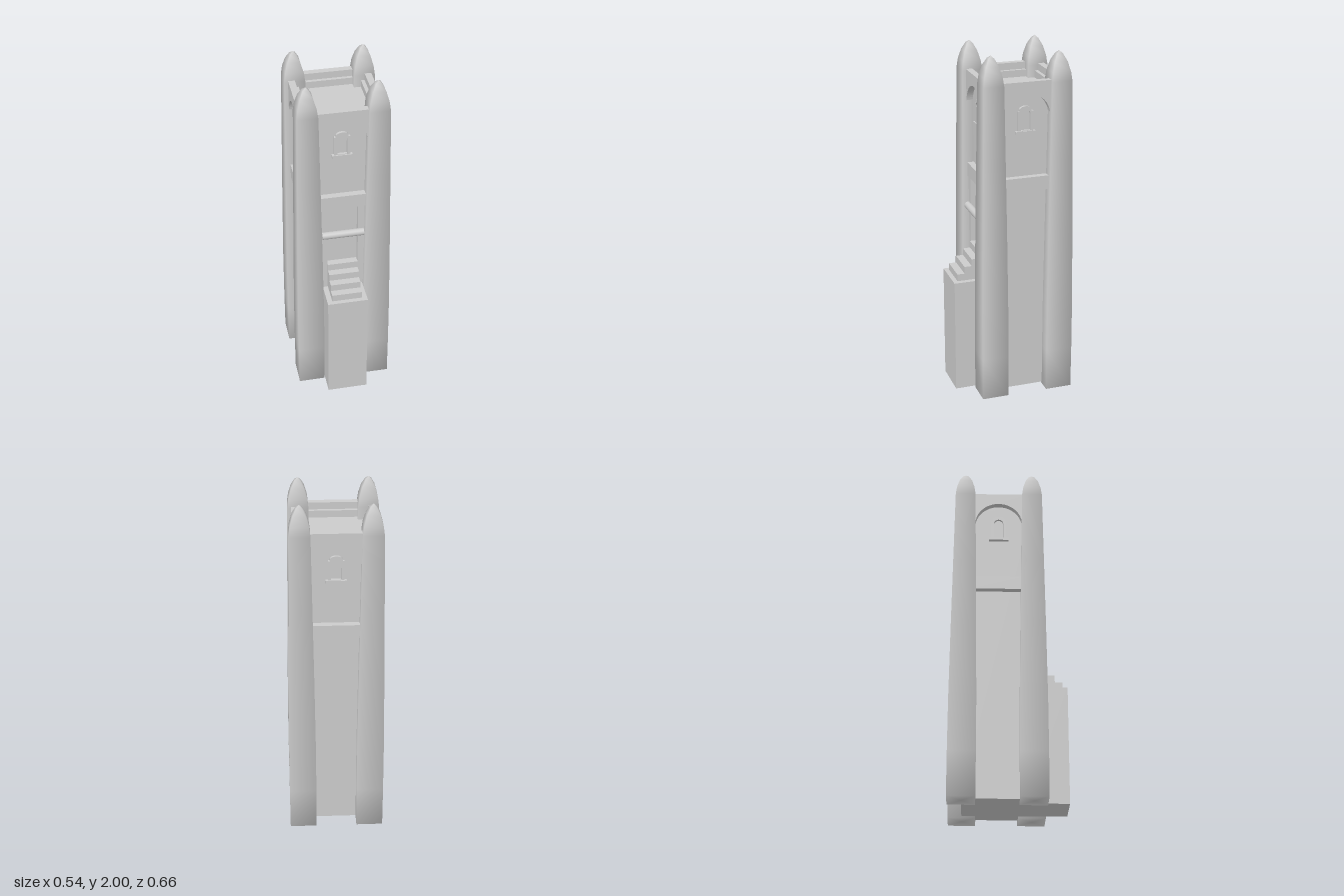
import * as THREE from 'three';

const MAT = new THREE.MeshStandardMaterial({ color: 0xcccccc });
const HALF = 0.193; // half width of the core walls
const OUT = 0.23;   // outer plane of ledges and parapet
const CENTRE_Z = -0.06;

function add(parent, name, geometry) {
  const mesh = new THREE.Mesh(geometry, MAT);
  mesh.name = name;
  parent.add(mesh);
  return mesh;
}

// Box given by its limits on each axis
function box(parent, name, x0, x1, y0, y1, z0, z1) {
  const mesh = add(parent, name, new THREE.BoxGeometry(x1 - x0, y1 - y0, z1 - z0));
  mesh.position.set((x0 + x1) / 2, (y0 + y1) / 2, (z0 + z1) / 2);
  return mesh;
}

function extrude(parent, name, shape, z0, z1) {
  const geometry = new THREE.ExtrudeGeometry(shape, { depth: z1 - z0, bevelEnabled: false, curveSegments: 16 });
  geometry.translate(0, 0, z0);
  return add(parent, name, geometry);
}

// Square, softly shaded corner pier tapering to a pointed cap
function pierGeometry() {
  const profile = [
    [0, 0], [0.076, 0], [0.0765, 0.25], [0.0755, 0.55], [0.07, 1], [0.064, 1.4],
    [0.0575, 1.84], [0.051, 1.89], [0.036, 1.945], [0.016, 1.985], [0, 2],
  ].map(([half, y]) => new THREE.Vector2(half * Math.SQRT2, y));
  return new THREE.LatheGeometry(profile, 4, Math.PI / 4);
}

// Small arched window with shouldered frame and sill
function addWindow(side) {
  const frame = new THREE.Shape();
  frame.moveTo(-0.044, 1.57);
  frame.lineTo(0.044, 1.57);
  frame.lineTo(0.044, 1.683);
  frame.lineTo(0.034, 1.683);
  frame.lineTo(0.034, 1.69);
  frame.absellipse(0, 1.69, 0.034, 0.02, 0, Math.PI, false);
  frame.lineTo(-0.034, 1.683);
  frame.lineTo(-0.044, 1.683);
  frame.closePath();
  const hole = new THREE.Path();
  hole.moveTo(-0.027, 1.574);
  hole.lineTo(-0.027, 1.665);
  hole.absellipse(0, 1.665, 0.027, 0.027, Math.PI, 0, true);
  hole.lineTo(0.027, 1.574);
  hole.closePath();
  frame.holes.push(hole);
  extrude(side, 'windowFrame', frame, HALF - 0.005, HALF + 0.015);
  box(side, 'windowSill', -0.056, 0.056, 1.555, 1.571, HALF - 0.005, HALF + 0.022);
}

// One face of the tower: ledge, arched parapet and window
function buildSide(name) {
  const side = new THREE.Group();
  side.name = name;
  box(side, 'ledge', -0.15, 0.15, 1.23, 1.31, HALF - 0.01, OUT);
  const arch = new THREE.Shape();
  arch.moveTo(-0.16, 1.85);
  arch.lineTo(-0.16, 1.65);
  arch.lineTo(-0.135, 1.65);
  arch.absarc(0, 1.65, 0.135, Math.PI, 0, true);
  arch.lineTo(0.16, 1.65);
  arch.lineTo(0.16, 1.85);
  arch.closePath();
  extrude(side, 'archedParapet', arch, HALF, OUT);
  box(side, 'parapetStep', -0.17, 0.17, 1.76, 1.81, HALF - 0.02, HALF);
  addWindow(side);
  return side;
}

export function createModel() {
  const model = new THREE.Group();
  model.name = 'tower';
  const tower = new THREE.Group();
  tower.name = 'towerBody';
  tower.position.z = CENTRE_Z;
  model.add(tower);

  box(tower, 'core', -HALF, HALF, 0.01, 1.77, -HALF, HALF);

  const pier = pierGeometry();
  for (const x of [-1, 1]) for (const z of [-1, 1]) {
    add(tower, 'cornerPier', pier).position.set(x * HALF, 0, z * HALF);
  }

  ['frontSide', 'leftSide', 'backSide', 'rightSide'].forEach((name, i) => {
    const side = buildSide(name);
    side.rotation.y = i * Math.PI / 2;
    tower.add(side);
  });

  // Doorway posts and rounded crossbar
  const entrance = new THREE.Group();
  entrance.name = 'entrance';
  model.add(entrance);
  for (const s of [-1, 1]) {
    box(entrance, 'doorPost', s * 0.105 - 0.018, s * 0.105 + 0.018, 0.68, 1.23, 0.125, 0.165);
  }
  const bar = add(entrance, 'crossbar', new THREE.CylinderGeometry(0.021, 0.021, 0.236, 16));
  bar.rotation.z = Math.PI / 2;
  bar.position.set(0, 1.055, 0.172);

  // Stair base and steps rising to the door
  box(entrance, 'stairBase', -0.115, 0.115, 0.01, 0.68, 0.1, 0.326);
  for (let i = 0; i < 4; i++) {
    box(entrance, 'step', -0.086, 0.086, 0.68 + i * 0.041, 0.721 + i * 0.041, 0.12, 0.3 - i * 0.0425);
  }
  return model;
}
